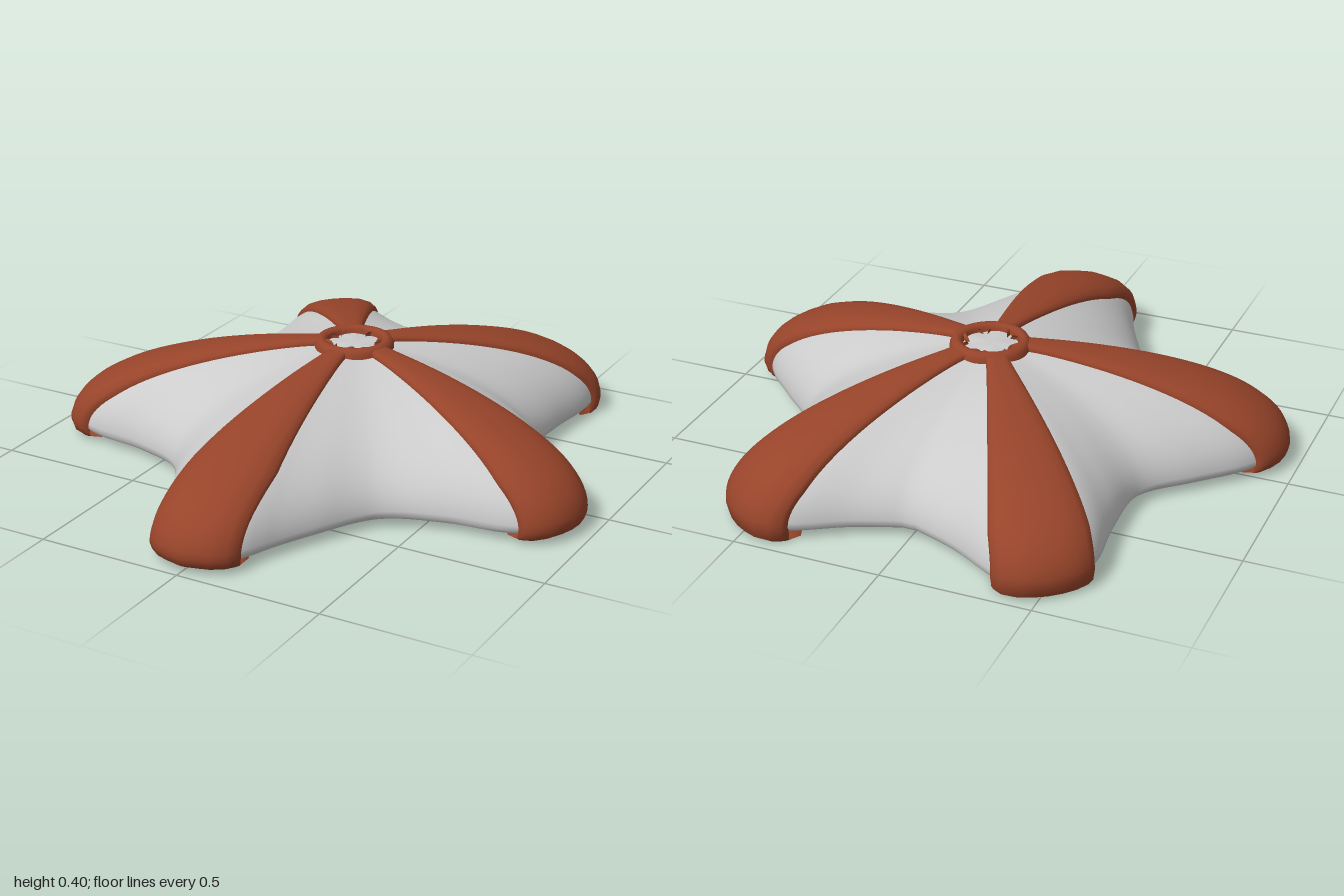
import * as THREE from 'three';
import { mergeVertices } from 'three/addons/utils/BufferGeometryUtils.js';

const CZ = -0.12;   // z of the hub, where all arms meet
const grey = new THREE.MeshStandardMaterial({ color: 0xcccccc });
const rust = new THREE.MeshStandardMaterial({ color: 0x97442a, side: THREE.DoubleSide });

// Half of the star outline (x, z), from the front tip round to the back notch
const half = [
  [0, 0.96], [0.1, 0.93], [0.155, 0.87], [0.18, 0.80], [0.26, 0.63], [0.39, 0.42],
  [0.59, 0.34], [0.79, 0.31], [0.87, 0.27], [0.925, 0.15], [0.91, 0.04], [0.86, -0.04],
  [0.74, -0.16], [0.60, -0.31], [0.59, -0.54], [0.61, -0.72], [0.60, -0.80], [0.52, -0.90],
  [0.41, -0.95], [0.34, -0.93], [0.18, -0.84], [0, -0.77],
];
const outline = new THREE.CatmullRomCurve3(half.map(([x, z]) => new THREE.Vector3(x, 0, z - CZ)))
  .getPoints(150).map(p => ({ a: Math.atan2(p.x, p.z), r: Math.hypot(p.x, p.z) }));

// Outline radius at an angle measured from the front
function radius(theta) {
  const t = Math.acos(THREE.MathUtils.clamp(Math.cos(theta), -1, 1));
  let k = 1;
  while (k < outline.length - 1 && outline[k].a < t) k++;
  const p = outline[k - 1], q = outline[k];
  const f = THREE.MathUtils.clamp((t - p.a) / (q.a - p.a || 1), 0, 1);
  return p.r + (q.r - p.r) * f;
}

// Dome surface: s runs from hub (0) to rim (1)
function dome(theta, s) {
  const r = radius(theta) * s;
  const y = 0.045 + 0.335 * Math.sqrt(Math.max(0, 1 - Math.pow(s, 1.6)));
  return new THREE.Vector3(r * Math.sin(theta), y, CZ + r * Math.cos(theta));
}

function domeNormal(theta, s) {
  const c = Math.min(s, 0.998), e = 0.001, w = 0.02;
  const ds = dome(theta, c + e).sub(dome(theta, c - e));
  const dt = dome(theta + w, c).sub(dome(theta - w, c));
  return ds.cross(dt).normalize();
}

// Smooth surface from rows of points
function grid(rows) {
  const n = rows[0].length, index = [];
  for (let i = 0; i < rows.length - 1; i++) {
    for (let j = 0; j < n - 1; j++) {
      const a = i * n + j, b = a + n;
      index.push(a, b, a + 1, b, b + 1, a + 1);
    }
  }
  let g = new THREE.BufferGeometry().setFromPoints(rows.flat());
  g.setIndex(index);
  g = mergeVertices(g, 1e-5);
  g.computeVertexNormals();
  return g;
}

// One raised band, following the dome along an arm and capping its tip
function bandGeometry(theta0, bottom) {
  const L = radius(theta0), start = 0.105 / L;
  const us = [-1, -0.97, -0.9, -0.75, -0.5, -0.25, 0, 0.25, 0.5, 0.75, 0.9, 0.97, 1];
  const row = (s, scale = 1, y = null) => us.map(u => {
    const r = s * L;
    const w = Math.min(0.168, 0.038 + 0.172 * (r - 0.12)) + 0.035 * Math.exp(-(r - 0.1) / 0.03);
    const theta = theta0 + Math.atan2(u * w, r);
    const thick = THREE.MathUtils.lerp(0.018, 0.034, s * s) * scale;
    const out = -0.006 + (thick + 0.006) * Math.sqrt(1 - Math.pow(Math.abs(u), 5));
    const p = dome(theta, s).addScaledVector(domeNormal(theta, s), out);
    if (y !== null) p.y = y;
    return p;
  });
  const rows = [];
  for (let i = 0; i <= 26; i++) {
    const t = i / 26;
    rows.push(row(start + (1 - start) * (1 - Math.pow(1 - t, 1.8))));
  }
  // lower lip tucked under the rim
  rows.push(row(1, 0.75, bottom + 0.012), row(1, 0.2, bottom), row(0.96, 0, bottom), row(0.94, 0, 0.06));
  return grid(rows);
}

export function createModel() {
  const group = new THREE.Group();
  const add = (name, geometry, material) => {
    const m = new THREE.Mesh(geometry, material);
    m.name = name;
    group.add(m);
    return m;
  };

  // Domed star body and its flat underside
  const N = 180, angles = Array.from({ length: N + 1 }, (_, j) => (j / N) * Math.PI * 2);
  const rows = [];
  for (let i = 0; i <= 28; i++) {
    const s = 1 - Math.pow(1 - i / 28, 2);
    rows.push(angles.map(a => dome(a, s)));
  }
  const flat = s => angles.map(a => dome(a, s).setY(0.03));
  rows.push(flat(0.98));
  add('starBody', grid(rows), grey);
  add('underside', grid([flat(0.98), flat(0)]), grey);

  // Five bands
  const side = Math.atan2(0.86, 0.27), back = Math.atan2(0.5, -0.77);
  const arms = [
    ['frontBand', 0, 0.015], ['leftBand', side, 0.015], ['rightBand', -side, 0.015],
    ['backLeftBand', back, 0], ['backRightBand', -back, 0],
  ];
  for (const [name, theta, bottom] of arms) add(name, bandGeometry(theta, bottom), rust);

  // Rounded ring round the hub
  const profile = [[0.136, 0.355], [0.134, 0.38], [0.125, 0.395], [0.112, 0.4], [0.1, 0.396], [0.092, 0.385], [0.09, 0.355]]
    .map(([x, y]) => new THREE.Vector2(x, y));
  add('hubRing', new THREE.LatheGeometry(profile, 48), rust).position.z = CZ;

  return group;
}
